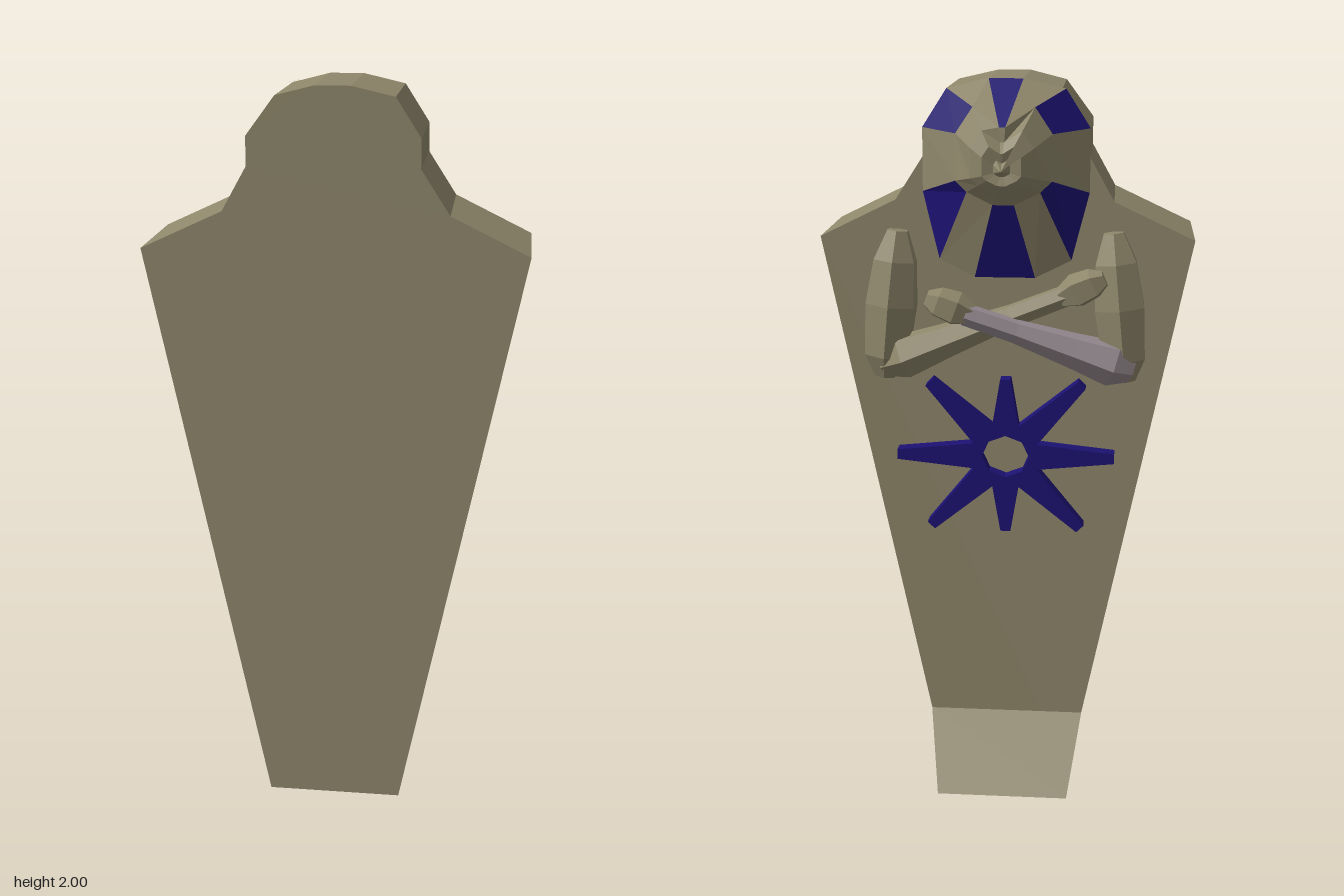
import * as THREE from 'three';
import { ConvexGeometry } from 'three/addons/geometries/ConvexGeometry.js';

const V = (x, y, z) => new THREE.Vector3(x, y, z);
const material = (color) => new THREE.MeshStandardMaterial({ color, flatShading: true });

export function createModel() {
  const group = new THREE.Group();
  const stone = material(0x8f876b);
  const blue = material(0x1c1272);
  const mauve = material(0x968b91);
  const FACE_Z = -0.065;

  const add = (name, geometry, mat, parent = group) => {
    const mesh = new THREE.Mesh(geometry, mat);
    mesh.name = name;
    parent.add(mesh);
    return mesh;
  };
  const extrude = (shape, depth, z) =>
    new THREE.ExtrudeGeometry(shape, { depth, bevelEnabled: false }).translate(0, 0, z);

  // Coffin body: shouldered outline, tapering to the feet
  const outline = [
    [-0.185, 0], [0.185, 0], [0.5, 1.585], [0.295, 1.685], [0.22, 1.8], [0.22, 1.875], [0.155, 1.975],
    [0.045, 2], [-0.045, 2], [-0.145, 1.975], [-0.22, 1.875], [-0.22, 1.8], [-0.285, 1.685], [-0.5, 1.585],
  ].map(([x, y]) => new THREE.Vector2(x, y));
  add('coffinBody', extrude(new THREE.Shape(outline), 0.31, FACE_Z), stone);

  // Sloping foot wedge
  const footPoints = [];
  for (const s of [-1, 1]) {
    footPoints.push(V(s * 0.185, 0, FACE_Z), V(s * 0.185, 0, -0.245), V(s * 0.221, 0.18, FACE_Z));
  }
  add('footWedge', new ConvexGeometry(footPoints), stone);

  // Head: rings from the headdress rim to the nose, half profiles mirrored
  const mirrorRing = (half) => [
    ...half.map((p) => V(...p)),
    ...half.slice().reverse().map(([x, y, z]) => V(-x, y, z)),
  ];
  const foot = (ring, z) => ring.map((p) => V(p.x, p.y, z));
  const rim = mirrorRing([
    [0.045, 2, -0.066], [0.155, 1.975, -0.066], [0.22, 1.875, -0.066],
    [0.22, 1.71, -0.075], [0.175, 1.535, -0.1], [0.08, 1.49, -0.115],
  ]);
  const brow = mirrorRing([
    [0.008, 1.89, -0.2], [0.08, 1.935, -0.145], [0.125, 1.868, -0.145],
    [0.125, 1.75, -0.16], [0.095, 1.722, -0.165], [0.028, 1.69, -0.172],
  ]);
  const centre = V(0, 1.785, 0);
  const shrink = (k, z) => brow.map((p) => V(p.x * k, centre.y + (p.y - centre.y) * k, z));
  const rings = [
    foot(rim, FACE_Z), rim, brow,
    shrink(0.65, -0.205), shrink(0.4, -0.228), shrink(0.17, -0.222),
    shrink(0, -0.245),
  ];
  const tris = { stone: [], blue: [] };
  for (let r = 0; r < rings.length - 1; r++) {
    for (let i = 0; i < 12; i++) {
      const j = (i + 1) % 12;
      const [a, b, c, d] = [rings[r][i], rings[r][j], rings[r + 1][j], rings[r + 1][i]];
      // Every other panel of the headdress is a blue stripe
      const list = r === 1 && i % 2 === 1 ? tris.blue : tris.stone;
      list.push(a, b, c, a, c, d);
    }
  }
  const head = new THREE.Group();
  head.name = 'head';
  group.add(head);
  const soup = (points) => {
    const g = new THREE.BufferGeometry().setFromPoints(points);
    g.computeVertexNormals();
    return g;
  };
  add('headdressAndFace', soup(tris.stone), stone, head);
  add('headdressStripes', soup(tris.blue), blue, head);

  // Limbs: faceted solids of revolution between two points, profile = [t, radius]
  const limb = (name, from, to, profile, mat, sides = 6) => {
    const dir = to.clone().sub(from);
    const pts = [[0, 0], ...profile, [1, 0]].map(([t, r]) => new THREE.Vector2(r, t * dir.length()));
    const mesh = add(name, new THREE.LatheGeometry(pts, sides), mat);
    mesh.quaternion.setFromUnitVectors(V(0, 1, 0), dir.normalize());
    mesh.position.copy(from);
  };
  for (const s of [-1, 1]) {
    const side = s > 0 ? 'left' : 'right';
    limb(side + 'UpperArm', V(s * 0.325, 1.215, -0.12), V(s * 0.285, 1.61, -0.1),
      [[0, 0.03], [0.15, 0.065], [0.5, 0.075], [0.8, 0.062], [1, 0.03]], stone);
  }

  // Crossed forearms, the right one lying over the left
  const forearm = [[0, 0.035], [0.12, 0.062], [0.35, 0.048], [0.7, 0.032], [1, 0.03]];
  const hand = [[0, 0.028], [0.35, 0.048], [0.75, 0.042], [1, 0.022]];
  limb('leftForearm', V(0.33, 1.25, -0.13), V(-0.17, 1.455, -0.155), forearm, stone);
  limb('leftHand', V(-0.15, 1.445, -0.155), V(-0.265, 1.5, -0.16), hand, stone, 5);
  limb('rightForearm', V(-0.34, 1.25, -0.14), V(0.1, 1.41, -0.205), forearm, mauve);
  limb('rightHand', V(0.08, 1.405, -0.2), V(0.2, 1.45, -0.2), hand, stone, 5);

  // Eight-rayed sun ornament with an open centre
  const star = new THREE.Shape();
  const reach = [0.3, 0.295, 0.22, 0.295];
  const corners = [];
  for (let i = 0; i < 8; i++) {
    const a = (i * Math.PI) / 4;
    const [cx, cy] = [Math.cos(a), Math.sin(a)];
    const r = reach[i % 4];
    for (const w of [-0.014, 0.014]) {
      corners.push(new THREE.Vector2(cx * r - cy * w, cy * r + cx * w));
    }
    const v = a + Math.PI / 8;
    corners.push(new THREE.Vector2(Math.cos(v) * 0.095, Math.sin(v) * 0.095));
  }
  star.setFromPoints(corners);
  const hole = new THREE.Path();
  hole.absellipse(0, 0, 0.065, 0.06, 0, Math.PI * 2, true);
  star.holes.push(hole);
  const sunGeometry = new THREE.ExtrudeGeometry(star, { depth: 0.04, bevelEnabled: false, curveSegments: 4 });
  add('sunOrnament', sunGeometry, blue).position.set(0, 0.985, FACE_Z - 0.04);

  return group;
}
